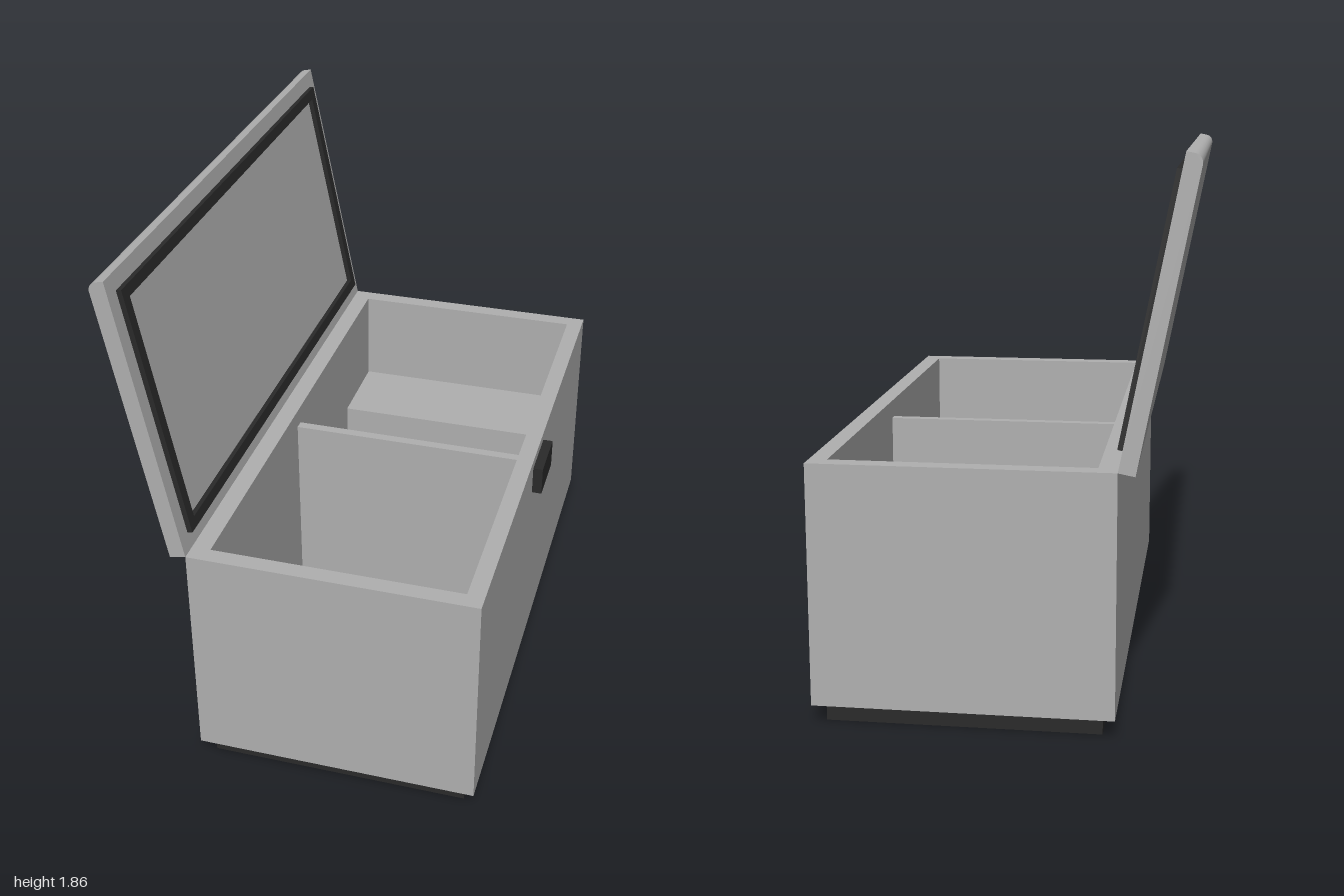
import * as THREE from 'three';

const shell = new THREE.MeshStandardMaterial({ name: 'shell grey', color: 0xb0b0b0 });
const dark = new THREE.MeshStandardMaterial({ name: 'dark trim', color: 0x2a2a2a });

function add(parent, name, geometry, material) {
  const mesh = new THREE.Mesh(geometry, material);
  mesh.name = name;
  parent.add(mesh);
  return mesh;
}

// Box given by its lower and upper limits on each axis
function box(parent, name, [x0, x1], [y0, y1], [z0, z1], material) {
  const mesh = add(parent, name, new THREE.BoxGeometry(x1 - x0, y1 - y0, z1 - z0), material);
  mesh.position.set((x0 + x1) / 2, (y0 + y1) / 2, (z0 + z1) / 2);
  return mesh;
}

function rectangle(PathType, x0, x1, y0, y1) {
  return new PathType([[x0, y0], [x1, y0], [x1, y1], [x0, y1]].map(p => new THREE.Vector2(...p)));
}

// Rectangular ring extruded along z
function frame(outer, inner, depth) {
  const shape = rectangle(THREE.Shape, ...outer);
  shape.holes.push(rectangle(THREE.Path, ...inner));
  return new THREE.ExtrudeGeometry(shape, { depth, bevelEnabled: false });
}

export function createModel() {
  const model = new THREE.Group();
  model.name = 'chestFreezer';

  // Open tub: four walls and a floor
  const walls = frame([-0.395, 0.6, -1, 1], [-0.33, 0.54, -0.94, 0.94], 0.815);
  walls.rotateX(-Math.PI / 2).translate(0, 0.065, 0);
  add(model, 'tubWalls', walls, shell);
  box(model, 'tubFloor', [-0.33, 0.54], [0.065, 0.13], [-0.94, 0.94], shell);

  // Inside: raised step at one end and a thin divider
  box(model, 'innerStep', [-0.33, 0.54], [0.13, 0.517], [-0.94, -0.61], shell);
  box(model, 'divider', [-0.33, 0.54], [0.13, 0.813], [0, 0.035], shell);

  // Plinth and latch
  box(model, 'plinth', [-0.353, 0.559], [0, 0.065], [-0.958, 0.958], dark);
  box(model, 'latch', [0.6, 0.635], [0.742, 0.846], [-0.077, 0.124], dark);

  // Lid, hinged on the rim and leaning back, with its free outer edge rounded
  const lid = new THREE.Group();
  lid.name = 'lid';
  lid.position.set(-0.395, 0.88, 0);
  lid.rotation.z = THREE.MathUtils.degToRad(11);
  model.add(lid);

  const t = 0.056, r = 0.03;
  const profile = new THREE.Shape();
  profile.moveTo(0, 0);
  profile.lineTo(0, 1);
  profile.lineTo(r - t, 1);
  profile.absarc(r - t, 1 - r, r, Math.PI / 2, Math.PI, false);
  profile.lineTo(-t, 0);
  const panel = new THREE.ExtrudeGeometry(profile, { depth: 2, bevelEnabled: false, curveSegments: 8 });
  add(lid, 'lidPanel', panel.translate(0, 0, -1), shell);

  // Seal around the inner face of the lid
  const seal = frame([-0.943, 0.943, 0.058, 0.944], [-0.903, 0.903, 0.097, 0.905], 0.018);
  add(lid, 'lidSeal', seal.rotateY(Math.PI / 2), dark);

  return model;
}
